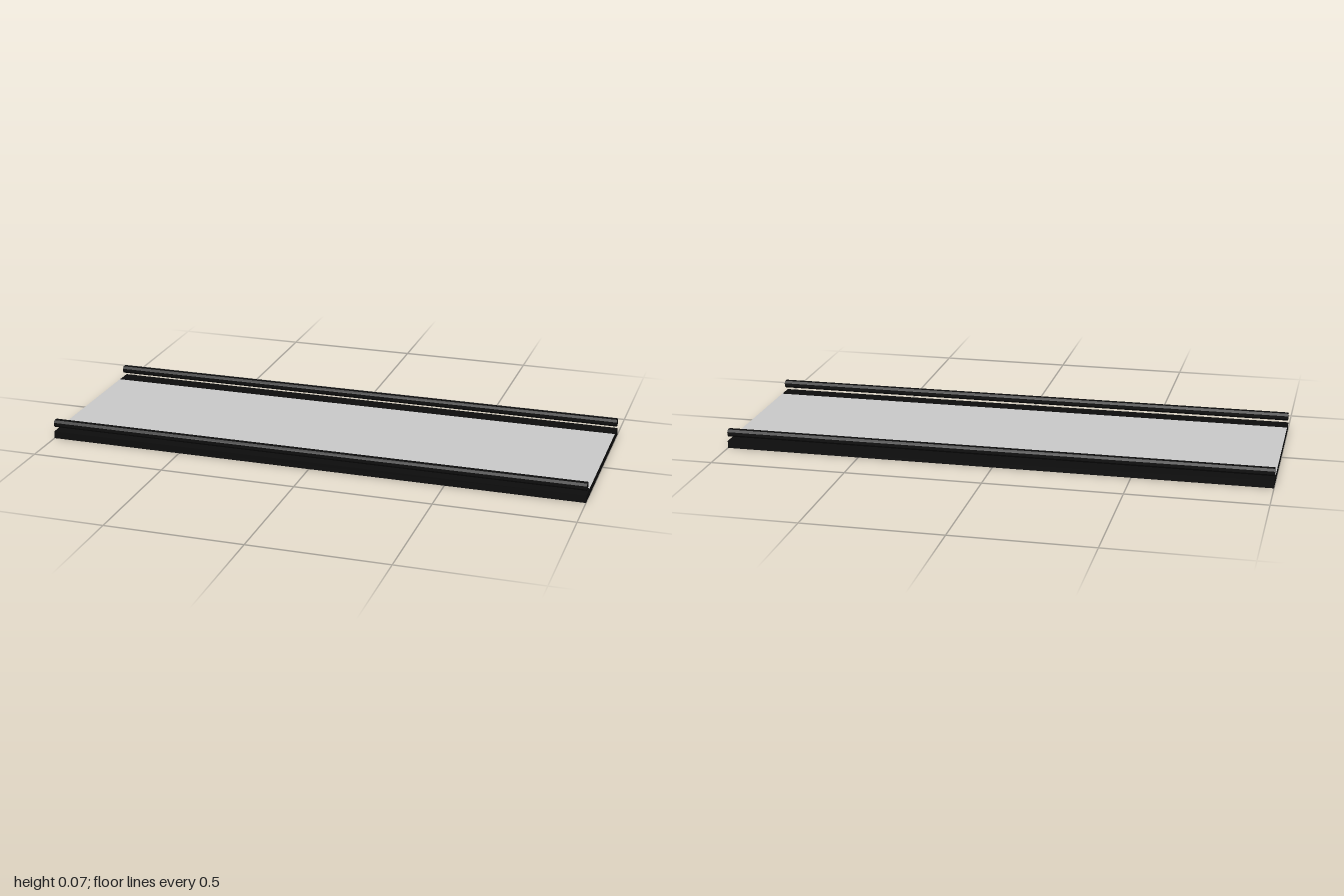
import * as THREE from 'three';

const LENGTH = 2, HALF_DEPTH = 0.333, BASE_H = 0.027;

// Octagonal bar profile (bevelled rectangle) extruded along x
function railGeometry(w, h, bevel) {
  const a = w / 2, b = h / 2;
  const shape = new THREE.Shape([
    [a, -b + bevel], [a, b - bevel], [a - bevel, b], [-a + bevel, b],
    [-a, b - bevel], [-a, -b + bevel], [-a + bevel, -b], [a - bevel, -b],
  ].map(([x, y]) => new THREE.Vector2(x, y)));
  return new THREE.ExtrudeGeometry(shape, { depth: LENGTH, bevelEnabled: false })
    .translate(0, 0, -LENGTH / 2)
    .rotateY(Math.PI / 2);
}

export function createModel() {
  const group = new THREE.Group();
  const black = new THREE.MeshStandardMaterial({ color: 0x0d0d0d, flatShading: true });
  const grey = new THREE.MeshStandardMaterial({ color: 0xcccccc });

  const add = (name, geometry, material, x, y, z) => {
    const mesh = new THREE.Mesh(geometry, material);
    mesh.name = name;
    mesh.position.set(x, y, z);
    group.add(mesh);
  };

  // Flat black deck
  add('base', new THREE.BoxGeometry(LENGTH, BASE_H, HALF_DEPTH * 2), black, 0, BASE_H / 2, 0);

  // Grey walking surface between the black border strips
  add('surface', new THREE.PlaneGeometry(LENGTH, 0.534).rotateX(-Math.PI / 2), grey, 0, BASE_H + 0.0006, 0);

  // Bevelled rails hovering above both long edges
  const rail = railGeometry(0.033, 0.027, 0.008);
  for (const [name, side] of [['frontRail', 1], ['backRail', -1]]) {
    add(name, rail, black, 0, 0.0555, side * (HALF_DEPTH - 0.0165));
  }
  return group;
}
